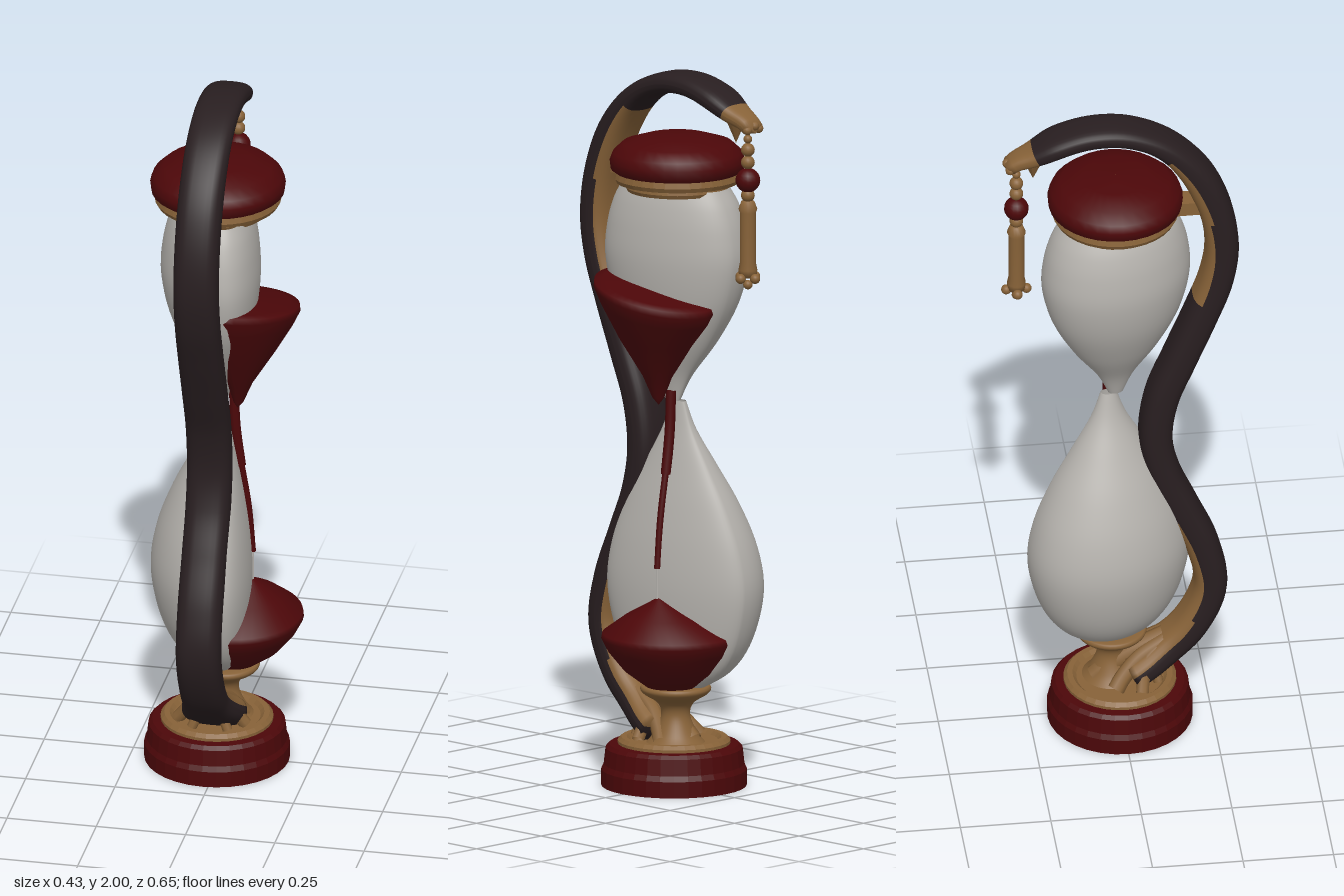
import * as THREE from 'three';

const mat = (name, color, side = THREE.FrontSide) => {
  const m = new THREE.MeshStandardMaterial({ color, side });
  m.name = name;
  return m;
};
const V = (x, y, z) => new THREE.Vector3(x, y, z);

export function createModel() {
  const root = new THREE.Group();
  root.name = 'hourglass';
  const red = mat('dark red', 0x4c0709, THREE.DoubleSide);
  const gold = mat('antique gold', 0x876238, THREE.DoubleSide);
  const wood = mat('dark wood', 0x281e20);
  const glass = mat('pale glass', 0xb6b3ae, THREE.DoubleSide);
  const CX = -0.016;

  const add = (name, geo, material, x = 0, y = 0, z = 0) => {
    const mesh = new THREE.Mesh(geo, material);
    mesh.name = name;
    mesh.position.set(x, y, z);
    root.add(mesh);
    return mesh;
  };
  const lathe = (pts, seg = 40) => new THREE.LatheGeometry(pts.map(p => new THREE.Vector2(p[0], p[1])), seg);
  // smooth lathe profile through a few points
  const curved = pts => new THREE.SplineCurve(pts.map(p => new THREE.Vector2(p[0], p[1])))
    .getPoints(40).map(p => [p.x, p.y]);
  // flat rings with crisp edges
  const crisp = pts => {
    const g = lathe(pts, 32).toNonIndexed();
    g.computeVertexNormals();
    return g;
  };
  // moves the vertices of a geometry by a rule
  const reshape = (geo, rule) => {
    const a = geo.attributes.position, v = V(0, 0, 0);
    for (let i = 0; i < a.count; i++) {
      rule(v.fromBufferAttribute(a, i));
      a.setXYZ(i, v.x, v.y, v.z);
    }
    geo.computeVertexNormals();
    return geo;
  };

  // hollow base closed by a gold plate
  add('base', crisp([[0.15, 0.1], [0.168, 0.06], [0.178, 0], [0.2, 0], [0.2, 0.045], [0.193, 0.06], [0.188, 0.105],
    [0.178, 0.115], [0.14, 0.118]]), red, CX);
  add('basePlate', crisp([[0, 0.1], [0.151, 0.1]]), gold, CX);
  add('baseRing', crisp([[0.155, 0.112], [0.155, 0.125], [0.145, 0.135], [0.13, 0.135], [0.12, 0.125], [0, 0.125]]), gold, CX);

  // stem that carries the lower bulb
  add('stem', lathe(curved([[0.085, 0.12], [0.06, 0.15], [0.04, 0.2], [0.05, 0.235], [0.09, 0.262], [0.097, 0.278], [0.08, 0.285], [0.001, 0.285]])),
    gold, 0, 0, -0.022);

  // bulbs: round toward the right, a shallow window toward the left
  const bulb = (name, pts, rightScale, leftScale, z) => add(name, reshape(lathe(curved(pts), 56), v => {
    v.x = v.x * (v.x < 0 ? rightScale : leftScale) + 0.15 * v.z;
  }), glass, 0, 0, z);
  bulb('lowerBulb', [[0.06, 0.275], [0.145, 0.33], [0.2, 0.42], [0.228, 0.55], [0.212, 0.67],
    [0.165, 0.79], [0.105, 0.9], [0.05, 1.0], [0.022, 1.08]], 0.91, 0.34, -0.03);
  bulb('upperBulb', [[0.022, 1.08], [0.055, 1.15], [0.125, 1.25], [0.182, 1.36], [0.208, 1.47],
    [0.202, 1.56], [0.182, 1.63], [0.155, 1.68]], 0.84, 0.5, -0.01);

  // upper sand: bulges out of the window, rim rises to the front
  add('upperSand', reshape(lathe([[0.001, 1.07], [0.018, 1.09], [0.045, 1.15], [0.112, 1.25], [0.165, 1.335],
    [0.185, 1.375], [0.183, 1.392], [0.155, 1.397], [0.001, 1.41]], 40), v => {
    v.y += v.z * 0.2 * THREE.MathUtils.clamp((v.y - 1.2) / 0.15, 0, 1);
    v.x *= v.x < 0 ? 0.6 : 0.93;
  }), red, 0.042, 0, 0.002);
  // lower sand: heap with its peak on the window
  add('lowerSand', reshape(lathe([[0.001, 0.283], [0.07, 0.285], [0.13, 0.33], [0.175, 0.385], [0.193, 0.42], [0.19, 0.435],
    [0.11, 0.485], [0.001, 0.54]], 40), v => {
    if (v.x < 0) v.x *= 0.75;
    v.x += 0.05 * Math.max(0, (v.y - 0.435) / 0.105);
  }), red, 0.024, 0, -0.03);
  // falling sand follows the window
  const fall = (name, pts, r, material) => add(name,
    new THREE.TubeGeometry(new THREE.CatmullRomCurve3(pts.map(p => V(p[0], p[1], -0.029))), 16, r, 8), material);
  fall('sandStreamTop', [[0.025, 1.11], [0.03, 1.0], [0.045, 0.88]], 0.014, red);
  fall('sandStream', [[0.045, 0.89], [0.066, 0.76], [0.078, 0.62]], 0.009, red);
  fall('streamTail', [[0.078, 0.62], [0.078, 0.52]], 0.004, glass);

  // lid
  add('lid', lathe([[0.165, 0.0], [0.183, 0.013], [0.186, 0.038], [0.178, 0.06], [0.15, 0.086],
    [0.09, 0.104], [0.001, 0.108]], 32), red, CX, 1.712, -0.013);
  add('lidRing', crisp([[0, 1.688], [0.168, 1.688], [0.174, 1.7], [0.17, 1.718], [0, 1.718]]), gold, CX, 0, -0.013);
  add('lidCollar', crisp([[0, 1.665], [0.138, 1.665], [0.143, 1.675], [0.14, 1.69], [0, 1.69]]), gold, CX, 0, -0.013);
  add('lidBracket', new THREE.BoxGeometry(0.06, 0.04, 0.09), gold, CX, 1.705, 0.195);

  // S-shaped support: dark outside, gold on parts of its inner face and at its tip
  const path = new THREE.CatmullRomCurve3([[0.02, 0.15], [0.1, 0.2], [0.19, 0.285], [0.248, 0.42], [0.228, 0.55],
    [0.17, 0.69], [0.12, 0.81], [0.098, 0.93], [0.115, 1.06], [0.165, 1.19], [0.222, 1.33], [0.265, 1.45],
    [0.281, 1.56], [0.262, 1.69], [0.205, 1.82], [0.12, 1.915], [0.02, 1.962], [-0.08, 1.968], [-0.17, 1.945],
    [-0.24, 1.91], [-0.29, 1.888], [-0.316, 1.865]].map(p => V(CX, p[1], p[0])));
  const N = 150, M = 28, pos = [], woodIdx = [], goldIdx = [];
  const smooth = THREE.MathUtils.smoothstep;
  const side = V(1, 0, 0);
  for (let i = 0; i <= N; i++) {
    const t = i / N, p = path.getPointAt(t);
    const n = side.clone().cross(path.getTangentAt(t));
    const end = i === 0 || i === N ? 0.01 : 1;
    const w = (0.062 + 0.03 * (1 - smooth(t, 0, 0.07)) - 0.03 * smooth(t, 0.93, 1)) * end;
    const h = (0.046 - 0.016 * smooth(t, 0.72, 0.84) - 0.01 * smooth(t, 0.93, 1)) * end;
    for (let j = 0; j <= M; j++) {
      const a = j / M * Math.PI * 2, c = Math.cos(a), s = Math.sin(a);
      const q = p.clone().addScaledVector(side, Math.sign(c) * Math.abs(c) ** 0.7 * w)
        .addScaledVector(n, Math.sign(s) * Math.abs(s) ** 0.8 * h);
      pos.push(q.x, q.y, q.z);
      if (i === N || j === M) continue;
      const wide = p.y < 0.32 || p.y > 1.66;
      const inner = Math.sin((j + 0.5) / M * Math.PI * 2) < (wide ? -0.15 : -0.42);
      const gilt = p.y < 0.66 || (p.y > 1.38 && p.y < 1.89 && p.z > 0);
      const k = i * (M + 1) + j, b = k + 1, d = k + M + 1;
      (p.z < -0.228 || (inner && gilt) ? goldIdx : woodIdx).push(k, d, b, b, d, d + 1);
    }
  }
  const support = new THREE.BufferGeometry();
  support.setAttribute('position', new THREE.Float32BufferAttribute(pos, 3));
  support.setIndex([...woodIdx, ...goldIdx]);
  support.addGroup(0, woodIdx.length, 0);
  support.addGroup(woodIdx.length, goldIdx.length, 1);
  support.computeVertexNormals();
  add('curvedSupport', support, [wood, gold]);

  // gold roots running from the support down over the base
  for (const [x, z, r] of [[-0.1, 0.05, 0.018], [-0.05, 0.1, 0.014], [0.05, 0.1, 0.014], [0.09, 0.05, 0.018],
    [-0.075, -0.02, 0.024], [0.07, -0.02, 0.024], [0, -0.07, 0.03]]) {
    const c = new THREE.CatmullRomCurve3([V(CX + x * 0.3, 0.25, 0.125), V(CX + x * 0.5, 0.205, 0.055 + z * 0.3),
      V(CX + x * 0.8, 0.155, 0.015 + z * 0.8), V(CX + x, 0.13, z)]);
    add('root', new THREE.TubeGeometry(c, 14, r, 8), gold);
  }

  // beads and barb at the tip of the arch
  for (const s of [-1, 0, 1]) {
    add('tipBead', new THREE.SphereGeometry(0.013, 10, 8), gold, CX + s * 0.022, 1.885 - 0.01 * Math.abs(s), -0.312 + 0.006 * Math.abs(s));
  }
  const barb = add('tipBarb', new THREE.ConeGeometry(0.035, 0.08, 10), gold, CX, 1.868, -0.24);
  barb.rotation.x = Math.PI;

  // hanging tassel
  const TZ = -0.286;
  const bead = (name, r, y, m = gold, dx = 0, dz = 0) => add(name, new THREE.SphereGeometry(r, 16, 12), m, CX + dx, y, TZ + dz);
  add('tasselCord', new THREE.CylinderGeometry(0.006, 0.006, 0.22, 8), gold, CX, 1.77, TZ);
  for (const [y, r] of [[1.845, 0.012], [1.815, 0.019], [1.78, 0.019]]) bead('chainBead', r, y);
  bead('redBead', 0.034, 1.73, red);
  bead('lowerBead', 0.019, 1.688);
  add('tasselBody', lathe([[0.001, 1.46], [0.024, 1.46], [0.026, 1.48], [0.022, 1.5], [0.022, 1.64], [0.026, 1.65],
    [0.018, 1.672], [0.001, 1.675]], 16), gold, CX, 0, TZ);
  for (let i = 0; i < 4; i++) bead('tasselKnob', 0.014, 1.458, gold, 0.028 * Math.sin(i * Math.PI / 2), 0.028 * Math.cos(i * Math.PI / 2));
  bead('tasselEnd', 0.013, 1.438);
  return root;
}
